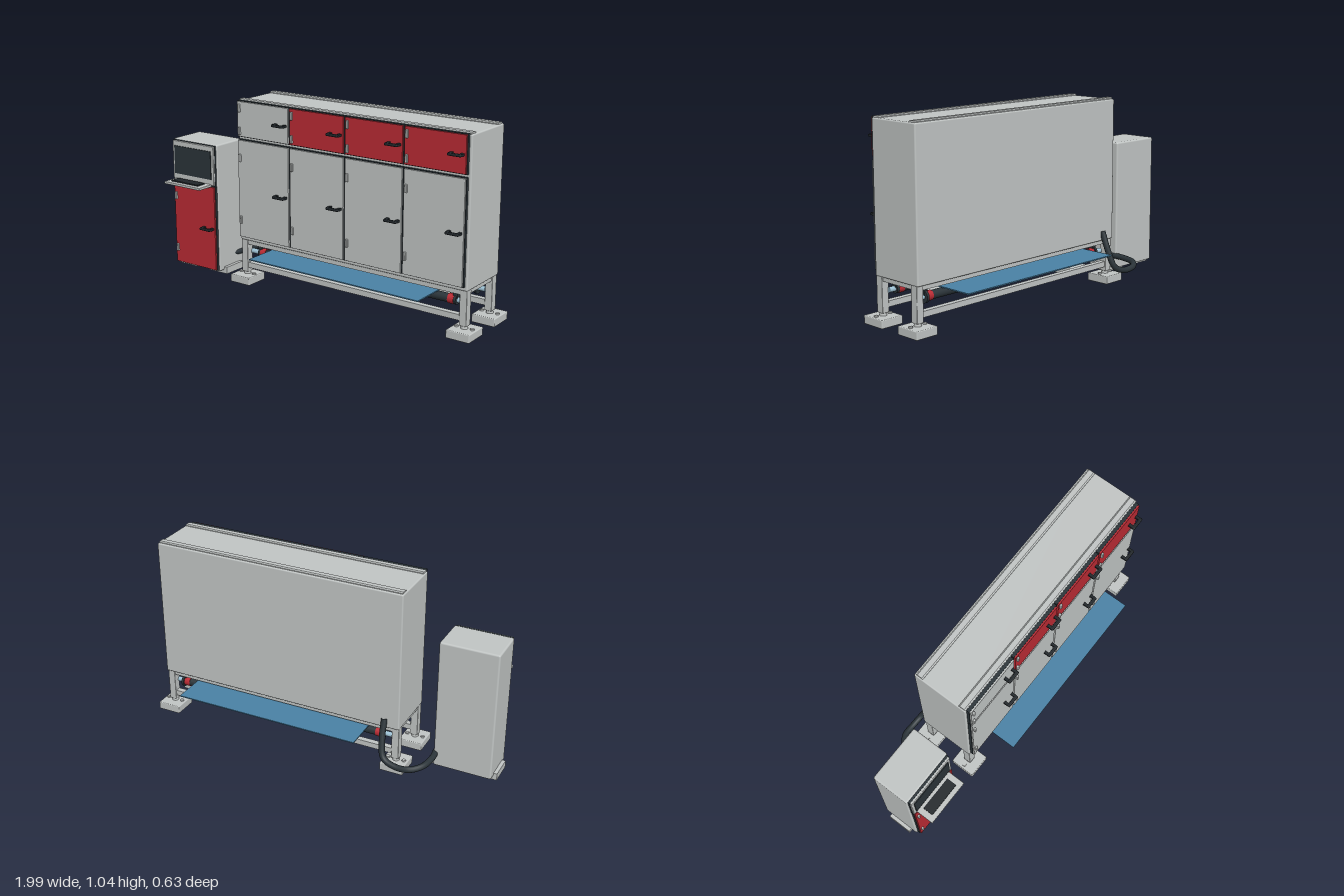
import * as THREE from 'three';
import { RoundedBoxGeometry } from 'three/addons/geometries/RoundedBoxGeometry.js';

const mat = (name, color) => {
  const m = new THREE.MeshStandardMaterial({ color });
  m.name = name;
  return m;
};

export function createModel() {
  const grey = mat('light grey paint', 0xc2c6c5);
  const red = mat('red paint', 0xbb2b34);
  const dark = mat('dark rubber', 0x2b3439);
  const black = mat('black plastic', 0x20262a);
  const blue = mat('blue sheet', 0x4a82a6);
  const steel = mat('pale steel', 0x9fc3d6);

  const root = new THREE.Group();
  root.name = 'industrialMachine';
  const group = (name) => {
    const g = new THREE.Group();
    g.name = name;
    root.add(g);
    return g;
  };
  const add = (parent, name, geo, m, x = 0, y = 0, z = 0) => {
    const mesh = new THREE.Mesh(geo, m);
    mesh.name = name;
    mesh.position.set(x, y, z);
    parent.add(mesh);
    return mesh;
  };
  // box given by its limits, optionally with rounded edges
  const box = (p, name, m, x0, x1, y0, y1, z0, z1, r = 0) => {
    const s = [x1 - x0, y1 - y0, z1 - z0];
    const geo = r ? new RoundedBoxGeometry(...s, 2, r) : new THREE.BoxGeometry(...s);
    return add(p, name, geo, m, (x0 + x1) / 2, (y0 + y1) / 2, (z0 + z1) / 2);
  };
  // cylinder lying along x
  const rod = (p, name, m, x0, x1, y, z, r, n = 28) =>
    add(p, name, new THREE.CylinderGeometry(r, r, x1 - x0, n).rotateZ(Math.PI / 2), m, (x0 + x1) / 2, y, z);

  // U-shaped pull handle
  const handle = (p, x0, x1, y) => {
    const h = new THREE.Group();
    h.name = 'handle';
    p.add(h);
    box(h, 'grip', black, x0, x1, y - 0.007, y + 0.007, 0.203, 0.221, 0.005);
    for (const x of [x0, x1 - 0.016]) box(h, 'handlePost', black, x, x + 0.016, y - 0.006, y + 0.006, 0.18, 0.212);
  };
  // door with dark seal, coloured panel, hinges and handle
  const door = (p, m, x0, x1, y0, y1, hingeYs, handleY) => {
    const d = new THREE.Group();
    d.name = 'door';
    p.add(d);
    box(d, 'doorSeal', dark, x0, x1, y0, y1, 0.155, 0.173);
    box(d, 'doorPanel', m, x0 + 0.004, x1 - 0.004, y0 + 0.004, y1 - 0.004, 0.172, 0.182);
    for (const y of hingeYs) {
      box(d, 'hinge', grey, x0 + 0.012, x0 + 0.026, y - 0.022, y + 0.022, 0.18, 0.193, 0.004);
    }
    handle(d, x1 - 0.088, x1 - 0.012, handleY);
  };

  // main cabinet
  const cab = group('mainCabinet');
  box(cab, 'cabinetBody', grey, -0.495, 0.95, 0.247, 1.036, -0.163, 0.157, 0.008);
  const ridge = new THREE.Shape();
  [[-0.021, -0.008], [-0.021, 0.004], [-0.014, 0.009], [0.014, 0.009], [0.021, 0.004], [0.021, -0.008]]
    .forEach(([a, b], i) => (i ? ridge.lineTo(a, b) : ridge.moveTo(a, b)));
  for (const z of [-0.132, 0.132]) {
    const geo = new THREE.ExtrudeGeometry(ridge, { depth: 1.43, bevelEnabled: false });
    geo.rotateY(Math.PI / 2);
    add(cab, 'roofRidge', geo, grey, -0.488, 1.036, z);
  }
  for (let i = 0; i < 4; i++) {
    const x0 = -0.484 + i * 0.356, x1 = x0 + 0.352;
    door(cab, i ? red : grey, x0, x1, 0.84, 1.04, [0.875, 1.0], 0.94);
    door(cab, grey, x0, x1, 0.27, 0.826, [0.372, 0.723], 0.548);
  }

  // supporting frame
  const frame = group('frame');
  for (const z of [-0.13, 0.132]) {
    box(frame, 'lowerRail', grey, -0.455, 0.915, 0.085, 0.116, z - 0.016, z + 0.016);
    box(frame, 'upperRail', grey, -0.455, 0.915, 0.222, 0.25, z - 0.016, z + 0.016);
    for (const [x, out] of [[-0.471, -1], [0.927, 1]]) {
      box(frame, 'leg', grey, x - 0.021, x + 0.021, 0.06, 0.25, z - 0.022, z + 0.022, 0.004);
      add(frame, 'levelingStud', new THREE.CylinderGeometry(0.017, 0.02, 0.025, 16), grey, x, 0.053, z);
      box(frame, 'footPad', grey, x - 0.067, x + 0.067, 0, 0.045, z - 0.071, z + 0.071, 0.005);
      for (const s of [out, -out]) {
        add(frame, 'padBolt', new THREE.CylinderGeometry(0.011, 0.011, 0.01, 6), grey, x + s * 0.045, 0.048, z);
      }
    }
  }
  for (const x of [-0.471, 0.927]) {
    box(frame, 'sideRail', grey, x - 0.014, x + 0.014, 0.225, 0.25, -0.12, 0.12);
  }

  // front and rear feed rollers
  const rollers = group('feedRollers');
  for (const z of [-0.108, 0.108]) {
    rod(rollers, 'roller', dark, -0.368, 0.845, 0.175, z, 0.023);
    rod(rollers, 'shaft', steel, -0.45, 0.91, 0.175, z, 0.014);
    for (const [x, s] of [[-0.368, -1], [0.845, 1]]) {
      const span = (a, b) => [x + s * a, x + s * b].sort((p, q) => p - q);
      rod(rollers, 'redCollar', red, ...span(-0.022, 0.012), 0.175, z, 0.026);
      rod(rollers, 'bearing', dark, ...span(0.012, 0.026), 0.175, z, z < 0 ? 0.033 : 0.025);
      box(rollers, 'bearingBracket', dark, ...span(0.006, 0.03), 0.17, 0.226, z - 0.012, z + 0.012);
    }
  }
  box(root, 'sheet', blue, -0.305, 0.765, 0.203, 0.209, -0.316, 0.316);

  // control console
  const con = group('controlConsole');
  box(con, 'consoleBody', grey, -0.98, -0.655, 0.02, 0.763, -0.058, 0.16, 0.01);
  box(con, 'upperSeal', dark, -0.972, -0.663, 0.527, 0.757, 0.155, 0.171);
  box(con, 'screenFrame', grey, -0.97, -0.665, 0.53, 0.755, 0.165, 0.181, 0.004);
  box(con, 'screen', dark, -0.954, -0.682, 0.565, 0.727, 0.178, 0.186);
  door(con, red, -0.97, -0.661, 0.028, 0.524, [0.12, 0.432], 0.276);
  box(con, 'keyboardTray', grey, -0.95, -0.685, 0.522, 0.537, 0.176, 0.281, 0.004);
  box(con, 'keyboard', black, -0.917, -0.72, 0.536, 0.544, 0.198, 0.256);
  // skids with sloped shoulders
  const skid = new THREE.Shape();
  [[-0.067, 0], [0.067, 0], [0.067, 0.012], [0.045, 0.022], [-0.047, 0.04], [-0.067, 0.04]]
    .forEach(([a, b], i) => (i ? skid.lineTo(a, b) : skid.moveTo(a, b)));
  for (const s of [1, -1]) {
    const geo = new THREE.ExtrudeGeometry(skid, { depth: 0.14, bevelEnabled: false });
    geo.translate(0, 0, -0.07);
    if (s < 0) geo.rotateY(Math.PI);
    add(con, 'consoleSkid', geo, grey, -0.8175 - s * 0.1155, 0, 0.053);
  }

  // cable from the cabinet back to the console side
  const path = new THREE.CatmullRomCurve3([
    [-0.41, 0.3, -0.16], [-0.415, 0.2, -0.195], [-0.44, 0.1, -0.228], [-0.51, 0.072, -0.238],
    [-0.59, 0.076, -0.235], [-0.645, 0.086, -0.19], [-0.665, 0.092, -0.1], [-0.661, 0.096, -0.02], [-0.685, 0.098, 0.06],
  ].map((p) => new THREE.Vector3(...p)));
  add(root, 'cable', new THREE.TubeGeometry(path, 64, 0.017, 12), dark);

  return root;
}
